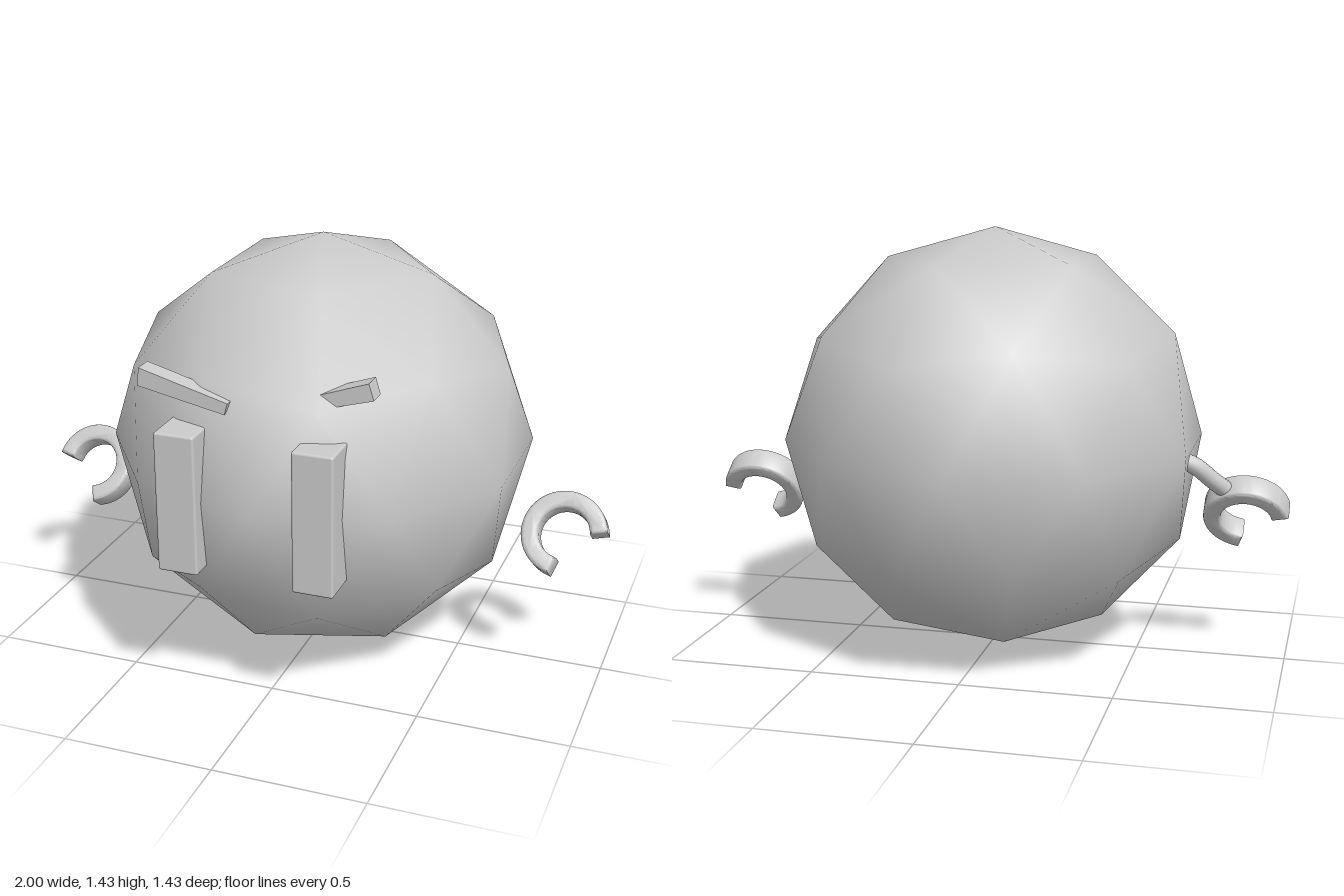
import * as THREE from 'three';
import { toCreasedNormals } from 'three/addons/utils/BufferGeometryUtils.js';
import { RoundedBoxGeometry } from 'three/addons/geometries/RoundedBoxGeometry.js';

const grey = new THREE.MeshStandardMaterial({ color: 0xcccccc });

function add(group, name, geometry, x = 0, y = 0, z = 0) {
  const mesh = new THREE.Mesh(geometry, grey);
  mesh.name = name;
  mesh.position.set(x, y, z);
  group.add(mesh);
  return mesh;
}

// Smooth-shaded icosphere with its poles on the y axis
function bodyGeometry(radius) {
  const h = 1 / Math.sqrt(5), r = 2 * h;
  const points = [0, 1, 0, 0, -1, 0];
  const faces = [];
  for (let k = 0; k < 5; k++) {
    const a = k * Math.PI * 0.4, b = a + Math.PI * 0.2;
    points.push(r * Math.cos(a), h, r * Math.sin(a));
    points.push(r * Math.cos(b), -h, r * Math.sin(b));
    const u = 2 + 2 * k, l = u + 1;
    const u2 = 2 + 2 * ((k + 1) % 5), l2 = u2 + 1;
    faces.push(0, u2, u, 1, l, l2, u, u2, l, l, u2, l2);
  }
  return new THREE.PolyhedronGeometry(points, faces, radius, 1);
}

// Tapered eyebrow bar from four front corners
function browGeometry(corners) {
  const shape = new THREE.Shape(corners.map(([x, y]) => new THREE.Vector2(x, y)));
  return new THREE.ExtrudeGeometry(shape, { depth: 0.065, bevelEnabled: false });
}

// Open ring hand with softened edges; side is +1 or -1 along x
function handGeometry(side) {
  const deg = Math.PI / 180, bevel = 0.014;
  const [start, end] = side < 0 ? [-73, 166] : [14, 253];
  const shape = new THREE.Shape();
  shape.absarc(0, 0, 0.142 - bevel, start * deg, end * deg, false);
  shape.absarc(0, 0, 0.084 + bevel, end * deg, start * deg, true);
  const depth = 0.09 - 2 * bevel;
  const geometry = new THREE.ExtrudeGeometry(shape, {
    depth, curveSegments: 28, bevelEnabled: true,
    bevelSize: bevel, bevelThickness: bevel, bevelSegments: 4,
  });
  geometry.translate(0, 0, -depth / 2);
  return toCreasedNormals(geometry, 0.7);
}

export function createModel() {
  const model = new THREE.Group();
  model.name = 'roundCharacter';

  add(model, 'body', bodyGeometry(0.715), 0, 0.717, 0);

  // Tall eyes sunk into the body
  for (const [name, x] of [['rightEye', -0.23], ['leftEye', 0.219]]) {
    add(model, name, new RoundedBoxGeometry(0.134, 0.466, 0.25, 2, 0.008), x, 0.722, 0.58);
  }

  // Slanted brows, the left one sunk deeper
  add(model, 'rightBrow', browGeometry(
    [[-0.377, 1.126], [-0.382, 1.067], [-0.094, 1.008], [-0.083, 1.046]]), 0, 0, 0.557);
  add(model, 'leftBrow', browGeometry(
    [[0.345, 1.142], [0.065, 1.043], [0.081, 1.009], [0.361, 1.089]]), 0, 0, 0.493);

  // Hands tilted forward
  for (const [name, side] of [['rightHand', -1], ['leftHand', 1]]) {
    add(model, name, handGeometry(side), side * 0.857, 0.495, 0.033).rotation.x = -0.63;
  }

  // Short arm joining the right hand to the body
  const path = new THREE.CatmullRomCurve3([
    new THREE.Vector3(-0.58, 0.71, -0.115),
    new THREE.Vector3(-0.69, 0.675, -0.1),
    new THREE.Vector3(-0.75, 0.622, -0.07),
    new THREE.Vector3(-0.785, 0.59, -0.045),
  ]);
  add(model, 'rightArm', new THREE.TubeGeometry(path, 16, 0.029, 14));
  add(model, 'rightArmEnd', new THREE.SphereGeometry(0.029, 14, 10), -0.785, 0.59, -0.045);

  return model;
}
